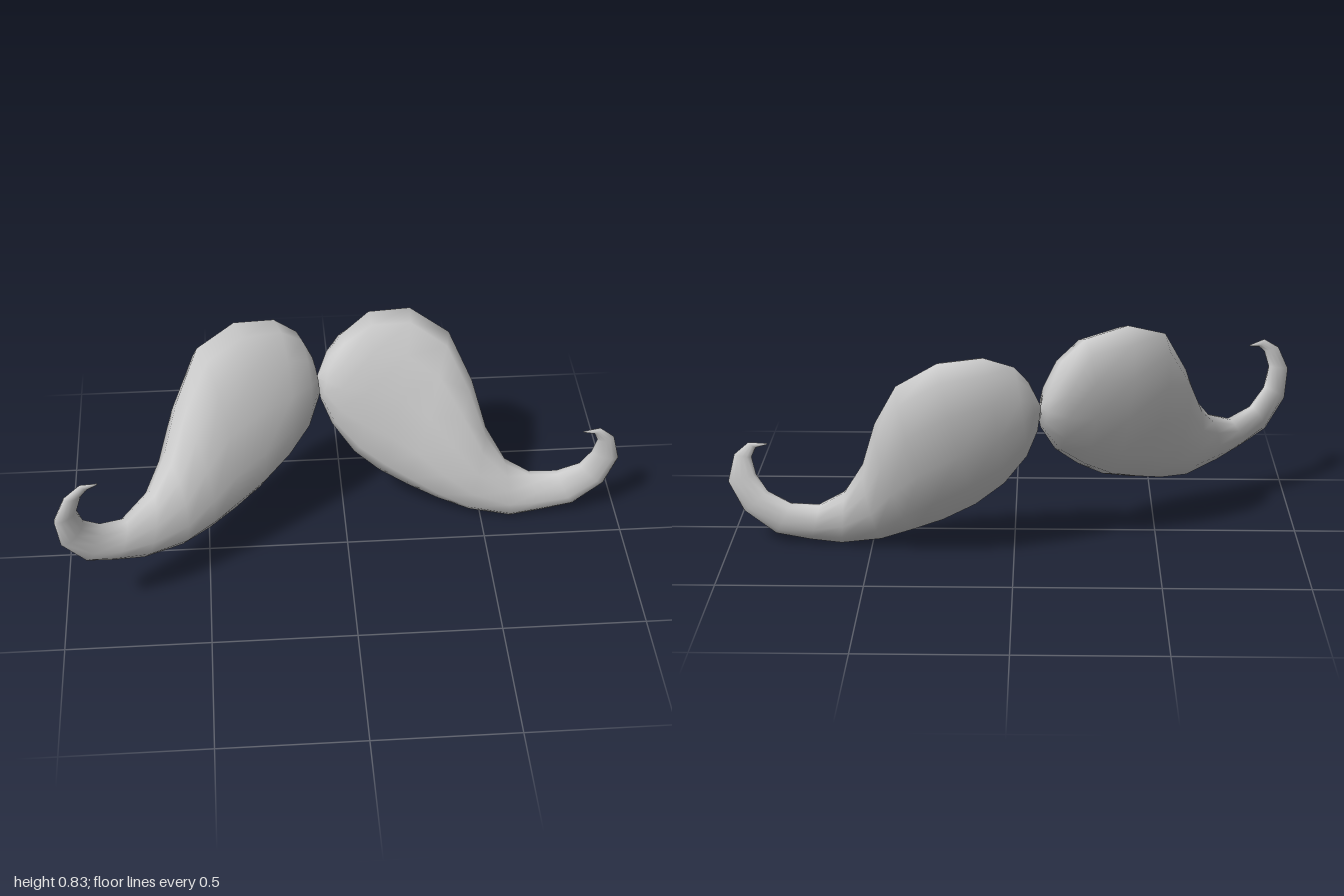
import * as THREE from 'three';

const SIDES = 12;

// Each station: upper edge x,y,z, lower edge x,y,z, half thickness
const LEFT = [
  [-0.09, 0.56, -0.26, -0.09, 0.55, -0.26, 0.005],
  [-0.05, 0.65, -0.28, -0.08, 0.47, -0.25, 0.055],
  [0.0, 0.71, -0.30, -0.04, 0.37, -0.23, 0.085],
  [0.1, 0.76, -0.36, 0.04, 0.26, -0.20, 0.105],
  [0.25, 0.75, -0.39, 0.13, 0.18, -0.19, 0.115],
  [0.39, 0.66, -0.36, 0.23, 0.12, -0.175, 0.115],
  [0.47, 0.5, -0.28, 0.34, 0.07, -0.15, 0.1],
  [0.52, 0.33, -0.22, 0.46, 0.025, -0.13, 0.08],
  [0.59, 0.21, -0.185, 0.61, 0.0, -0.115, 0.055],
  [0.68, 0.155, -0.175, 0.72, 0.015, -0.12, 0.042],
  [0.78, 0.16, -0.165, 0.84, 0.035, -0.125, 0.033],
  [0.86, 0.2, -0.15, 0.95, 0.12, -0.13, 0.027],
  [0.9, 0.26, -0.14, 1.0, 0.23, -0.135, 0.022],
  [0.915, 0.32, -0.13, 0.975, 0.33, -0.13, 0.016],
  [0.9, 0.353, -0.125, 0.925, 0.372, -0.125, 0.01],
  [0.86, 0.362, -0.12, 0.86, 0.367, -0.12, 0.002],
];
const RIGHT = [
  [-0.09, 0.56, -0.26, -0.09, 0.55, -0.26, 0.005],
  [-0.115, 0.65, -0.28, -0.09, 0.48, -0.25, 0.05],
  [-0.16, 0.73, -0.295, -0.14, 0.38, -0.19, 0.08],
  [-0.24, 0.8, -0.27, -0.22, 0.3, -0.12, 0.1],
  [-0.38, 0.83, -0.215, -0.31, 0.235, -0.05, 0.11],
  [-0.51, 0.78, -0.14, -0.4, 0.2, 0.02, 0.11],
  [-0.59, 0.62, -0.04, -0.49, 0.175, 0.09, 0.1],
  [-0.64, 0.47, 0.06, -0.59, 0.16, 0.16, 0.08],
  [-0.69, 0.39, 0.14, -0.72, 0.185, 0.25, 0.057],
  [-0.78, 0.34, 0.225, -0.82, 0.225, 0.305, 0.042],
  [-0.86, 0.37, 0.285, -0.91, 0.265, 0.35, 0.033],
  [-0.91, 0.43, 0.335, -0.985, 0.37, 0.39, 0.026],
  [-0.925, 0.5, 0.365, -0.998, 0.48, 0.405, 0.02],
  [-0.905, 0.56, 0.365, -0.96, 0.565, 0.395, 0.015],
  [-0.885, 0.578, 0.36, -0.905, 0.602, 0.372, 0.01],
  [-0.85, 0.583, 0.345, -0.85, 0.588, 0.345, 0.002],
];

// Lofts oval sections along the curve midway between the two edges
function loft(stations) {
  const secs = stations.map((s) => {
    const up = new THREE.Vector3(s[0], s[1], s[2]);
    const low = new THREE.Vector3(s[3], s[4], s[5]);
    return {
      mid: up.clone().add(low).multiplyScalar(0.5),
      half: up.clone().sub(low).multiplyScalar(0.5),
      t: s[6],
    };
  });
  const pos = [];
  const index = [];
  const last = secs.length - 1;
  secs.forEach(({ mid, half, t }, i) => {
    const tangent = secs[Math.min(i + 1, last)].mid.clone().sub(secs[Math.max(i - 1, 0)].mid);
    const across = tangent.cross(half).normalize().multiplyScalar(t);
    for (let j = 0; j < SIDES; j++) {
      const a = (j / SIDES) * Math.PI * 2;
      const p = mid.clone().addScaledVector(half, Math.cos(a)).addScaledVector(across, Math.sin(a));
      pos.push(p.x, p.y, p.z);
      if (i < last) {
        const k = (j + 1) % SIDES;
        const r = i * SIDES;
        const n = r + SIDES;
        index.push(r + j, r + k, n + j, r + k, n + k, n + j);
      }
    }
  });
  // End caps
  const e = last * SIDES;
  for (let j = 1; j < SIDES - 1; j++) {
    index.push(0, j + 1, j, e, e + j, e + j + 1);
  }
  const geo = new THREE.BufferGeometry();
  geo.setAttribute('position', new THREE.Float32BufferAttribute(pos, 3));
  geo.setIndex(index);
  geo.computeVertexNormals();
  return geo;
}

export function createModel() {
  const group = new THREE.Group();
  group.name = 'moustache';
  const material = new THREE.MeshStandardMaterial({ color: 0xcccccc });
  for (const [name, stations] of [['leftHalf', LEFT], ['rightHalf', RIGHT]]) {
    const mesh = new THREE.Mesh(loft(stations), material);
    mesh.name = name;
    group.add(mesh);
  }
  return group;
}
